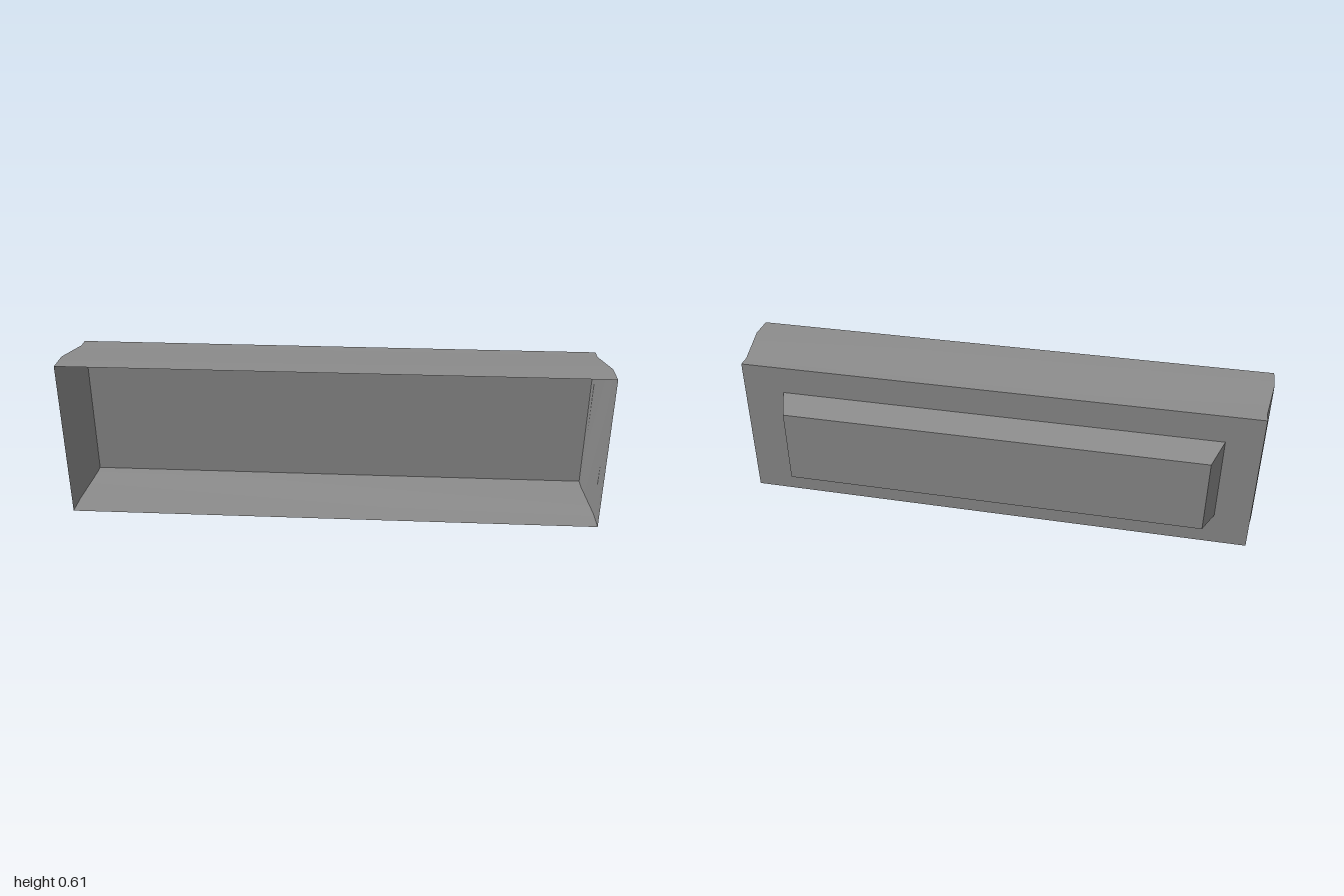
import * as THREE from 'three';
import { toCreasedNormals } from 'three/addons/utils/BufferGeometryUtils.js';

// Lofts rectangular sections [x0, x1, y0, y1, z], ordered front to back, and caps the last one
function loftRects(sections) {
  const positions = [];
  const indices = [];
  for (const [x0, x1, y0, y1, z] of sections) {
    positions.push(x0, y0, z, x1, y0, z, x1, y1, z, x0, y1, z);
  }
  for (let s = 0; s < sections.length - 1; s++) {
    for (let i = 0; i < 4; i++) {
      const a = s * 4 + i;
      const b = s * 4 + ((i + 1) % 4);
      indices.push(a, a + 4, b, b, a + 4, b + 4);
    }
  }
  const e = (sections.length - 1) * 4;
  indices.push(e, e + 2, e + 1, e, e + 3, e + 2);
  const geometry = new THREE.BufferGeometry();
  geometry.setAttribute('position', new THREE.Float32BufferAttribute(positions, 3));
  geometry.setIndex(indices);
  return toCreasedNormals(geometry, Math.PI / 6);
}

export function createModel() {
  const group = new THREE.Group();
  group.name = 'openHousing';
  const grey = new THREE.MeshStandardMaterial({ color: 0x8c8c8c, side: THREE.DoubleSide });
  grey.name = 'grey';

  const addPart = (name, sections) => {
    const mesh = new THREE.Mesh(loftRects(sections), grey);
    mesh.name = name;
    group.add(mesh);
  };

  // Thin tray, open at the front, narrowing towards its back wall
  addPart('shell', [
    [-1, 1, 0.002, 0.608, 0.212],
    [-1, 1, 0.002, 0.608, 0.12],
    [-0.976, 0.976, 0.025, 0.585, -0.045],
    [-0.976, 0.976, 0.025, 0.585, -0.09],
  ]);

  // Tapered block on the back wall, slightly off centre
  addPart('rearBlock', [
    [-0.845, 0.82, 0.15, 0.478, -0.09],
    [-0.802, 0.776, 0.172, 0.456, -0.211],
  ]);

  // Stand the tray exactly on the ground
  group.children.forEach((part) => { part.position.y = -0.002; });
  return group;
}
